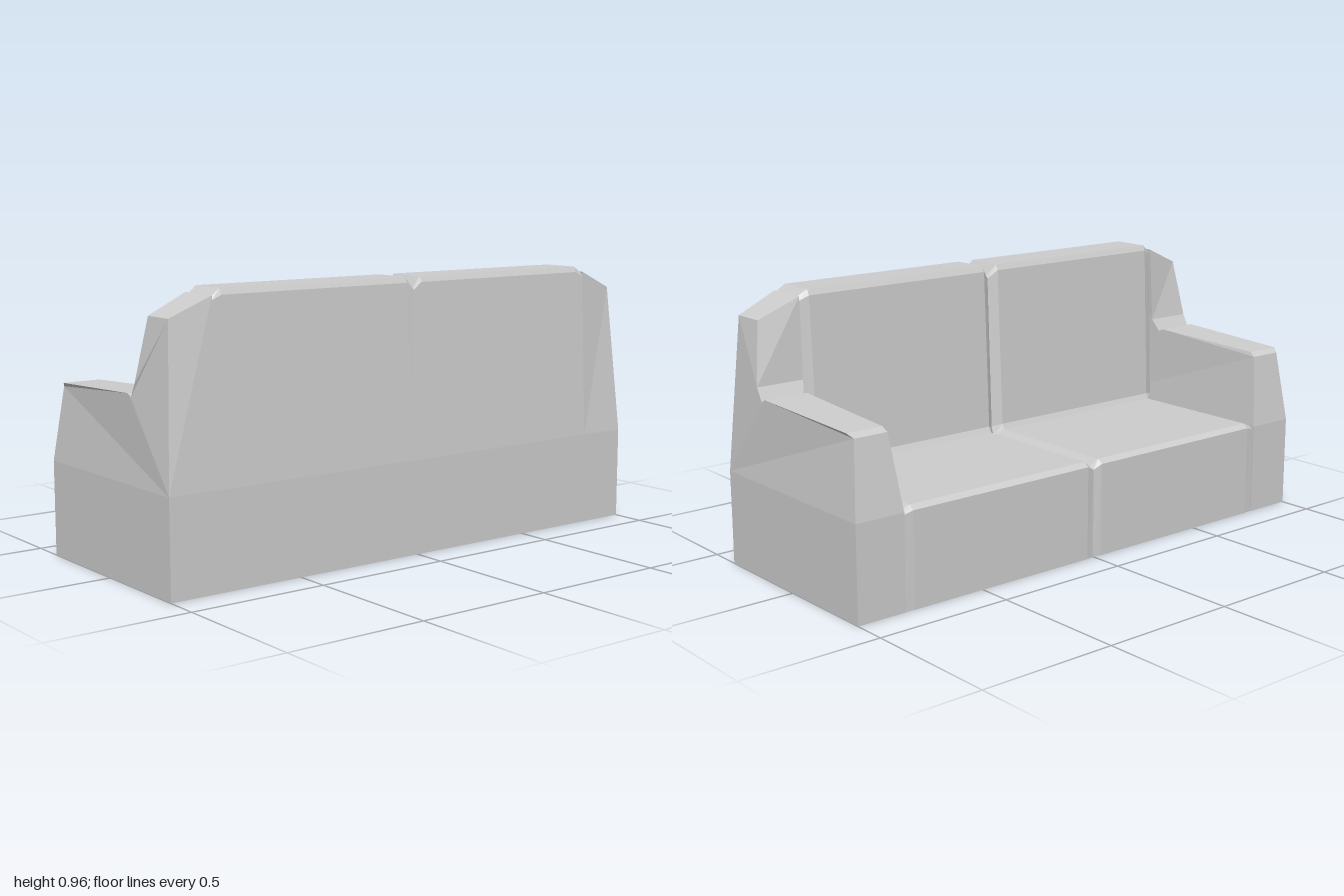
import * as THREE from 'three';

const fabric = new THREE.MeshStandardMaterial({ color: 0xcccccc });
fabric.name = 'light grey fabric';

// Flat-faced loft through matching rings of [x, y, z], ordered by rising x, with both ends capped.
function loft(rings) {
  const pos = [];
  const tri = (a, b, c) => pos.push(...a, ...b, ...c);
  const n = rings[0].length;
  for (let k = 0; k < rings.length - 1; k++) {
    for (let i = 0; i < n; i++) {
      const j = (i + 1) % n;
      const a = rings[k][i], b = rings[k][j], c = rings[k + 1][j], d = rings[k + 1][i];
      tri(a, d, c);
      tri(a, c, b);
    }
  }
  const cap = (ring, facing) => {
    const flat = ring.map(([, y, z]) => new THREE.Vector2(-z, y));
    for (const [i, j, k] of THREE.ShapeUtils.triangulateShape(flat, [])) {
      const area = THREE.ShapeUtils.area([flat[i], flat[j], flat[k]]);
      if (area * facing > 0) tri(ring[i], ring[j], ring[k]);
      else tri(ring[i], ring[k], ring[j]);
    }
  };
  cap(rings[0], -1);
  cap(rings[rings.length - 1], 1);
  const g = new THREE.BufferGeometry();
  g.setAttribute('position', new THREE.Float32BufferAttribute(pos, 3));
  g.computeVertexNormals();
  return g;
}

function add(group, name, geometry) {
  const mesh = new THREE.Mesh(geometry, fabric);
  mesh.name = name;
  group.add(mesh);
  return mesh;
}

// Side profile [z, y] of the seat and backrest: cushion crown, and bottom of a seam
const crown = [
  [0.38, 0], [0.38, 0.335], [0.35, 0.945], [0.34, 0.965], [0.2, 0.965], [0.19, 0.945],
  [0.165, 0.37], [0.155, 0.35], [-0.36, 0.35], [-0.38, 0.335], [-0.38, 0],
];
const seam = [
  [0.38, 0], [0.38, 0.335], [0.351, 0.92], [0.343, 0.925], [0.22, 0.925], [0.21, 0.915],
  [0.19, 0.36], [0.18, 0.325], [-0.352, 0.325], [-0.372, 0.318], [-0.374, 0],
];

// Profile at x, blended from crown (0) to seam (1)
const section = (x, t) => crown.map(([z, y], i) => [
  x,
  THREE.MathUtils.lerp(y, seam[i][1], t),
  THREE.MathUtils.lerp(z, seam[i][0], t),
]);

// Matching inner and outer outlines of an arm with its backrest wing
const armInner = [
  [0.815, 0.335, 0.38], [0.815, 0.945, 0.35], [0.815, 0.945, 0.195], [0.82, 0.665, 0.18],
  [0.835, 0.62, 0.155], [0.835, 0.63, 0.135], [0.85, 0.61, -0.32], [0.846, 0.595, -0.342],
  [0.815, 0.335, -0.38],
];
const armOuter = [
  [1, 0.335, 0.38], [0.965, 0.88, 0.335], [0.965, 0.88, 0.215], [0.998, 0.665, 0.18],
  [0.997, 0.62, 0.155], [0.997, 0.63, 0.135], [0.985, 0.61, -0.32], [0.972, 0.595, -0.342],
  [1, 0.335, -0.38],
];
const mirror = (ring) => ring.map(([x, y, z]) => [-x, y, z]);

export function createModel() {
  const sofa = new THREE.Group();
  sofa.name = 'sofa';

  // Two seat and back cushions divided by seams
  add(sofa, 'seatAndBackCushions', loft([
    section(-0.815, 0.6), section(-0.78, 0), section(-0.032, 0), section(0, 1),
    section(0.032, 0), section(0.78, 0), section(0.815, 0.6),
  ]));

  // Arms with wings, each on a plain block
  add(sofa, 'leftArm', loft([armInner, armOuter]));
  add(sofa, 'rightArm', loft([mirror(armOuter), mirror(armInner)]));
  for (const side of [1, -1]) {
    const base = add(sofa, side > 0 ? 'leftArmBase' : 'rightArmBase',
      new THREE.BoxGeometry(0.185, 0.335, 0.76));
    base.position.set(side * 0.9075, 0.1675, 0);
  }
  return sofa;
}
